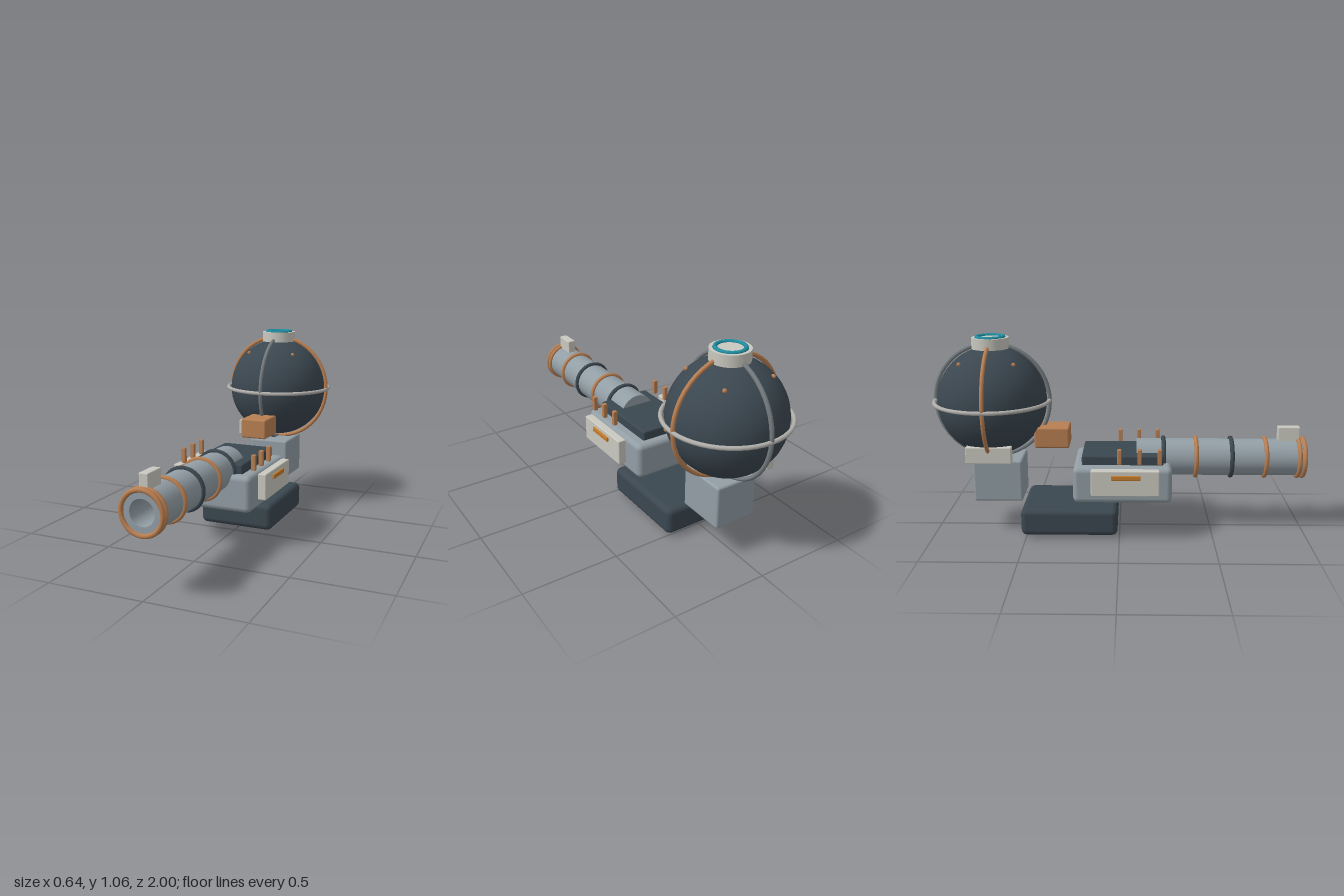
import * as THREE from 'three';
import { RoundedBoxGeometry } from 'three/addons/geometries/RoundedBoxGeometry.js';

const paint = (name, color) => {
  const m = new THREE.MeshStandardMaterial({ color });
  m.name = name;
  return m;
};

export function createModel() {
  const dark = paint('dark slate', 0x3b4750);
  const steel = paint('blue steel', 0x929ea5);
  const copper = paint('copper', 0xb97f52);
  const ivory = paint('ivory', 0xcac9c0);
  const teal = paint('teal', 0x1f8ca0);
  const orange = paint('orange', 0xc87d2c);
  const grey = paint('dull grey', 0x757c80);
  const silver = paint('silver', 0xb0aeaa);

  const model = new THREE.Group();
  const add = (name, geometry, material, x = 0, y = 0, z = 0) => {
    const mesh = new THREE.Mesh(geometry, material);
    mesh.name = name;
    mesh.position.set(x, y, z);
    model.add(mesh);
    return mesh;
  };
  // Rounded box given by its lower and upper limits on each axis
  const box = (name, material, [x0, x1], [y0, y1], [z0, z1], r) =>
    add(name, new RoundedBoxGeometry(x1 - x0, y1 - y0, z1 - z0, 2, r), material,
      (x0 + x1) / 2, (y0 + y1) / 2, (z0 + z1) / 2);
  const ring = (name, material, R, tube, x, y, z) =>
    add(name, new THREE.TorusGeometry(R, tube, 8, 48), material, x, y, z);

  // Base and its foot
  box('base', dark, [-0.21, 0.21], [0.015, 0.162], [-0.525, -0.01], 0.03);
  add('footDisc', new THREE.CylinderGeometry(0.155, 0.155, 0.03, 32), grey, 0, 0.015, -0.268);

  // Receiver body and top deck
  box('body', steel, [-0.205, 0.205], [0.2, 0.395], [-0.245, 0.277], 0.028);
  box('deck', dark, [-0.145, 0.145], [0.37, 0.445], [-0.2, 0.232], 0.01);

  // Hollow barrel, closed at the back
  const profile = [[0, 0.09], [0.1, 0.09], [0.1, 0.09], [0.1, 0.985], [0.1, 0.985], [0.063, 0.985],
    [0.063, 0.985], [0.063, 0.11], [0.063, 0.11], [0, 0.11]].map(([r, z]) => new THREE.Vector2(r, z));
  const barrel = add('barrel', new THREE.LatheGeometry(profile, 32), steel, 0, 0.4, 0);
  barrel.rotation.x = Math.PI / 2;
  barrel.material.side = THREE.DoubleSide;

  // Barrel bands
  [[0.235, dark], [0.41, copper], [0.6, dark], [0.783, copper], [0.96, copper], [0.988, copper]]
    .forEach(([z, m]) => ring('barrelBand', m, 0.103, 0.012, 0, 0.4, z));
  box('sight', ivory, [-0.023, 0.023], [0.492, 0.572], [0.85, 0.967], 0.005);

  // Side panels, handles and upright pegs
  for (const s of [-1, 1]) {
    const span = (a, b) => (s > 0 ? [a, b] : [-b, -a]);
    box('sidePanel', ivory, span(0.22, 0.265), [0.262, 0.4], [-0.147, 0.208], 0.006);
    box('sideHandle', orange, span(0.258, 0.275), [0.352, 0.377], [-0.042, 0.11], 0.004);
    for (const z of [0, 0.105, 0.21])
      box('peg', copper, span(0.187, 0.211), [0.417, 0.498], [z - 0.011, z + 0.011], 0.004);
  }

  // Rear support block, coupling and side box
  box('supportBlock', steel, [-0.115, 0.115], [0.177, 0.405], [-0.785, -0.522], 0.012);
  box('coupling', copper, [-0.075, 0.075], [0.465, 0.577], [-0.457, -0.27], 0.01);
  box('sideBox', ivory, [-0.21, -0.165], [0.417, 0.507], [-0.8, -0.56], 0.006);

  // Spherical tank with three cage rings
  const cy = 0.712, cz = -0.682;
  add('tank', new THREE.SphereGeometry(0.29, 40, 28), dark, 0, cy, cz);
  ring('crossRing', copper, 0.306, 0.011, 0, cy, cz);
  ring('lengthRing', grey, 0.306, 0.011, 0, cy, cz).rotation.y = Math.PI / 2;
  ring('equatorRing', silver, 0.307, 0.011, 0, cy, cz).rotation.x = Math.PI / 2;

  // Tank cap and seal
  add('tankCap', new THREE.CylinderGeometry(0.098, 0.098, 0.058, 24), ivory, 0, 1.021, cz);
  ring('capSeal', teal, 0.07, 0.011, 0, 1.05, cz).rotation.x = Math.PI / 2;

  // Rivets on the upper half of the tank
  for (const sx of [-1, 1]) for (const sz of [-1, 1])
    add('rivet', new THREE.SphereGeometry(0.011, 10, 8), copper, sx * 0.138, cy + 0.216, cz + sz * 0.14);

  return model;
}
